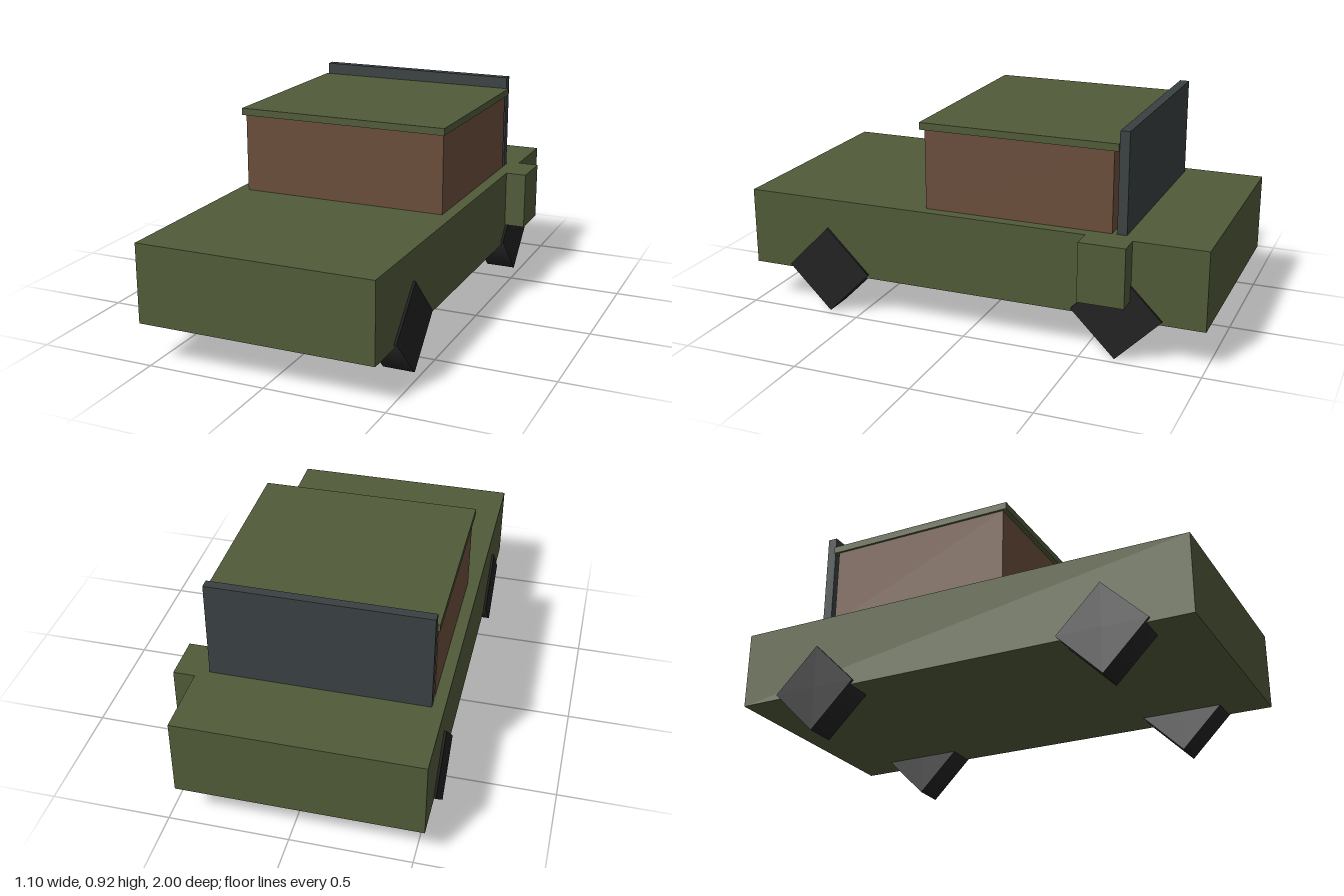
import * as THREE from 'three';

const paint = (name, color) => {
  const m = new THREE.MeshStandardMaterial({ color });
  m.name = name;
  return m;
};

export function createModel() {
  const group = new THREE.Group();
  group.name = 'truck';
  const green = paint('olive green', 0x505a38);
  const brown = paint('brown', 0x694d3a);
  const slate = paint('slate grey', 0x3a4042);
  const black = paint('tyre black', 0x222222);

  // Box given by its low and high limits on each axis
  const box = (name, material, [x0, x1], [y0, y1], [z0, z1]) => {
    const mesh = new THREE.Mesh(new THREE.BoxGeometry(x1 - x0, y1 - y0, z1 - z0), material);
    mesh.position.set((x0 + x1) / 2, (y0 + y1) / 2, (z0 + z1) / 2);
    mesh.name = name;
    group.add(mesh);
  };

  const deck = 0.503;
  box('body', green, [-0.54, 0.46], [0.172, deck], [-1, 1]);
  box('cabin', brown, [-0.49, 0.41], [deck, 0.84], [-0.6, 0.2]);
  box('roof', green, [-0.5, 0.42], [0.84, 0.87], [-0.62, 0.22]);
  box('rearPanel', slate, [-0.49, 0.41], [deck, 0.92], [-0.66, -0.62]);
  box('sideBox', green, [0.46, 0.55], [0.255, deck], [-0.697, -0.505]);

  // Four-sided wheels standing on their corners
  const wheelGeometry = new THREE.CylinderGeometry(0.188, 0.188, 0.133, 4).rotateZ(Math.PI / 2);
  for (const [side, x] of [['left', 0.404], ['right', -0.484]]) {
    for (const [end, z] of [['Front', 0.64], ['Rear', -0.64]]) {
      const wheel = new THREE.Mesh(wheelGeometry, black);
      wheel.position.set(x, 0.188, z);
      wheel.name = `${side}${end}Wheel`;
      group.add(wheel);
    }
  }
  return group;
}
